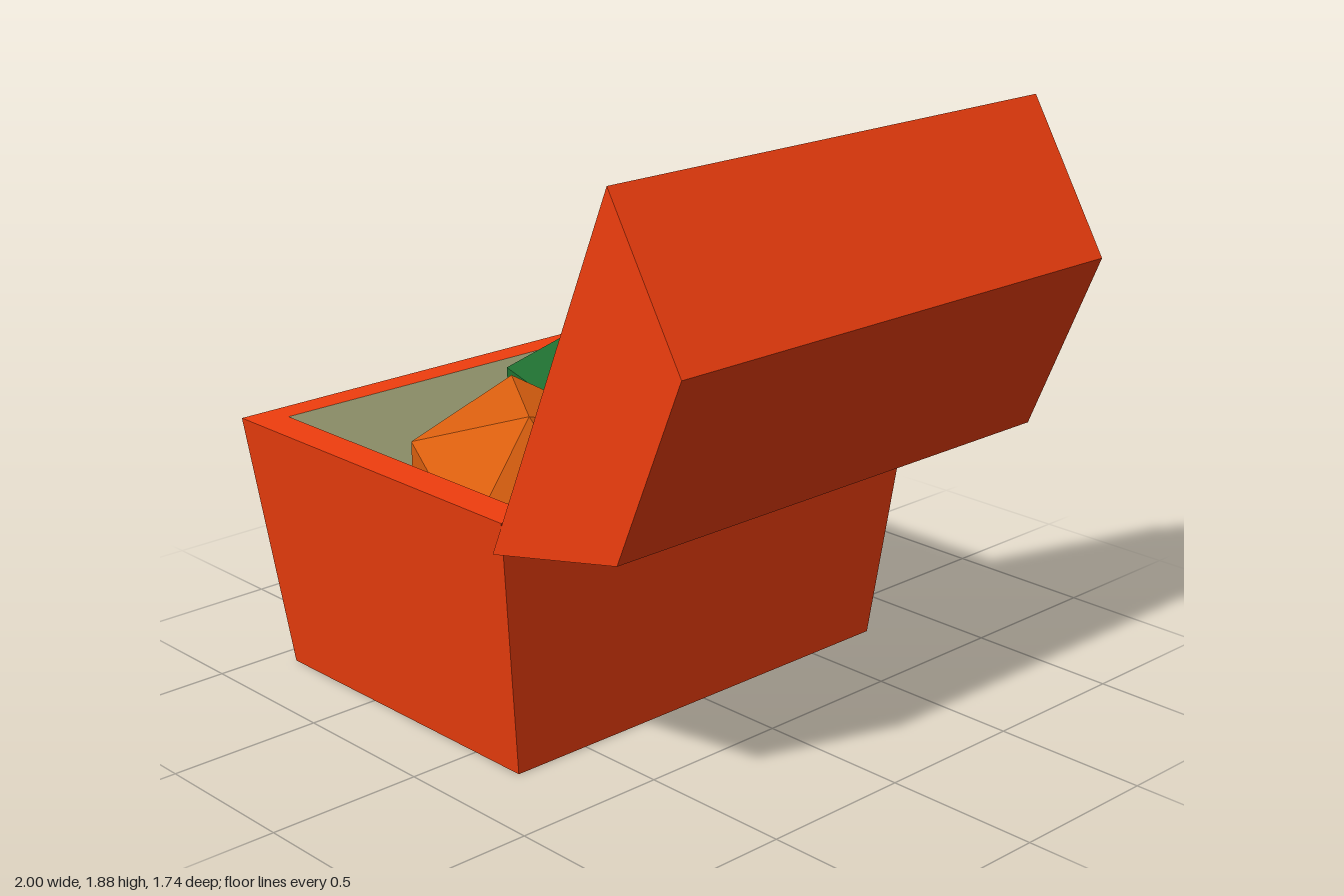
import * as THREE from 'three';

const paint = (color) => new THREE.MeshStandardMaterial({ color, flatShading: true });

// Skin over rectangular loops [xMin, xMax, y, halfDepth], optionally capped at each end.
function loftRects(loops, capStart, capEnd) {
  const rings = loops.map(([x0, x1, y, z]) => [[x0, y, z], [x1, y, z], [x1, y, -z], [x0, y, -z]]);
  const pos = [];
  const quad = (a, b, c, d) => pos.push(...a, ...b, ...c, ...a, ...c, ...d);
  for (let r = 0; r < rings.length - 1; r++) {
    for (let i = 0; i < 4; i++) {
      const j = (i + 1) % 4;
      quad(rings[r][i], rings[r][j], rings[r + 1][j], rings[r + 1][i]);
    }
  }
  if (capStart) quad(...[...rings[0]].reverse());
  if (capEnd) quad(...rings[rings.length - 1]);
  const geo = new THREE.BufferGeometry();
  geo.setAttribute('position', new THREE.Float32BufferAttribute(pos, 3));
  geo.computeVertexNormals();
  return geo;
}

export function createModel() {
  const group = new THREE.Group();
  const add = (name, geo, mat) => {
    const mesh = new THREE.Mesh(geo, mat);
    mesh.name = name;
    group.add(mesh);
    return mesh;
  };
  const red = paint(0xf03e0e);

  // Tapered box with a flat rim
  const rim = [-0.91, 0.19, 0.84, 0.755];
  add('box', loftRects([[-0.92, 0.2, 0, 0.765], [-1, 0.27, 0.84, 0.87], rim], true, false), red);

  // Pale lining with straight walls and a floor
  add('lining', loftRects([rim, [-0.91, 0.19, 0.03, 0.755]], false, true), paint(0xd9dca2));

  // Open lid: tapered shell with a raised bevelled lip and a hollow inside
  const lid = add('lid', loftRects([
    [-0.314, 0.314, -0.433, 0.87],
    [-0.625, 0.625, 0, 0.87],
    [-0.478, 0.478, 0.074, 0.775],
    [-0.232, 0.232, -0.33, 0.775],
  ], true, true), red);
  lid.position.set(0.475, 1.31, 0);
  lid.rotation.z = 1.168;

  // Gems: two stand on a point, one lies with an edge on top
  const pointUp = -Math.atan(2 / (1 + Math.sqrt(5)));
  const gems = [
    ['greenGem', 0x1f6e30, 0.43, [-0.54, 0.64, -0.32], 0, pointUp],
    ['yellowGem', 0xf2e510, 0.335, [-0.155, 0.775, -0.2], 0, pointUp],
    ['orangeGem', 0xdc600f, 0.405, [-0.375, 0.58, 0.25], -0.575, 0],
  ];
  for (const [name, color, radius, at, turn, tilt] of gems) {
    const gem = add(name, new THREE.IcosahedronGeometry(radius, 0), paint(color));
    gem.position.set(...at);
    gem.rotation.set(0, turn, tilt);
  }
  return group;
}
